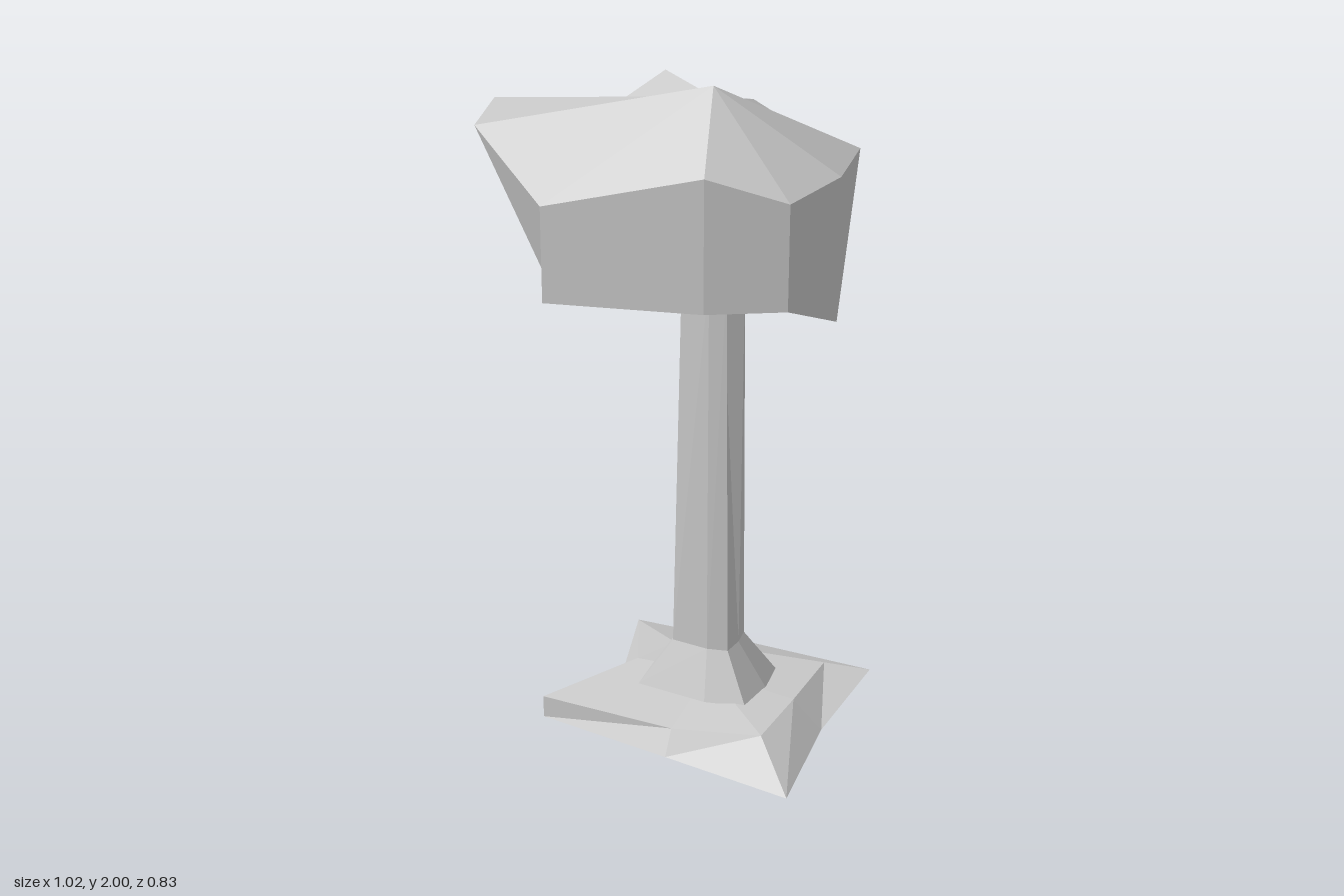
import * as THREE from 'three';

const material = new THREE.MeshStandardMaterial({ color: 0xcccccc, flatShading: true, side: THREE.DoubleSide });

// Builds a faceted mesh from triangles given as triples of [x, y, z] points
function facetMesh(name, triangles) {
  const geometry = new THREE.BufferGeometry();
  geometry.setAttribute('position', new THREE.Float32BufferAttribute(triangles.flat(2), 3));
  geometry.computeVertexNormals();
  const mesh = new THREE.Mesh(geometry, material);
  mesh.name = name;
  return mesh;
}

// Side faces between an upper and a lower ring (counterclockwise seen from above);
// from index flipFrom on, each quad is split along its other diagonal
function band(upper, lower, flipFrom = upper.length) {
  return upper.flatMap((u, i) => {
    const j = (i + 1) % upper.length;
    return i < flipFrom
      ? [[u, lower[i], upper[j]], [lower[i], lower[j], upper[j]]]
      : [[u, lower[i], lower[j]], [u, lower[j], upper[j]]];
  });
}

// Closes a ring with a fan around a centre point
function fan(ring, centre, facingUp) {
  return ring.map((p, i) => {
    const q = ring[(i + 1) % ring.length];
    return facingUp ? [centre, p, q] : [centre, q, p];
  });
}

// Ragged crown: two rings of corners, a ridged top and a flat underside
function createCrown() {
  const upper = [
    [-0.515, 1.82, 0.02], [-0.465, 1.82, 0.235], [-0.19, 1.7, 0.415], [0.24, 1.82, 0.36],
    [0.44, 1.755, 0.28], [0.51, 1.775, 0.1], [0.47, 1.755, -0.165], [0.295, 1.7, -0.32],
    [0.1, 1.785, -0.335], [0.06, 1.76, -0.3], [-0.18, 1.82, -0.375], [-0.34, 1.7, -0.115],
  ];
  const hollow = [0, 1.37, -0.02];
  const lower = [
    [-0.34, 1.43, 0.03], [-0.305, 1.37, 0.035], [-0.24, 1.37, 0.24], [-0.19, 1.43, 0.415],
    [0.24, 1.45, 0.36], [0.44, 1.46, 0.28], [0.51, 1.37, 0.1], [0.38, 1.37, -0.18],
    [0.297, 1.315, -0.417], [0.1, 1.365, -0.335], [0.06, 1.335, -0.31], hollow, hollow,
  ];
  const peak = [0.19, 2, 0.18], ridge = [0.165, 1.878, -0.08], saddle = [0.1, 1.89, -0.035];
  const [a, b, c, d, e, f, g, h, j, n, l, m] = upper;
  const top = [
    ...[[b, c], [c, d], [d, e], [e, f], [f, g], [g, ridge], [ridge, saddle], [saddle, b]]
      .map(([p, q]) => [peak, p, q]),
    [ridge, g, h], [ridge, h, j], [ridge, j, saddle],
    ...[[j, n], [n, l], [l, m], [m, a], [a, b]].map(([p, q]) => [saddle, p, q]),
  ];
  // The left tip has two lower corners, so it counts twice in the upper ring
  const sides = band([a, ...upper], lower, 10);
  return facetMesh('crown', [...top, ...sides, ...fan(lower, [0.1, 1.37, -0.03], false)]);
}

// Trunk with a flat front, grooves that deepen upwards and a flared foot
function createTrunk() {
  const topOutline = [
    [0.07, -0.025], [0.036, 0.018], [0.12, 0.028], [0.168, 0.02],
    [0.14, -0.015], [0.19, -0.06], [0.135, -0.084], [0.115, -0.05], [0.085, -0.08], [0.045, -0.055],
  ];
  const bottomOutline = [
    [0.017, -0.025], [0.02, 0.04], [0.13, 0.048], [0.19, 0.035],
    [0.2, -0.025], [0.195, -0.08], [0.14, -0.098], [0.11, -0.099], [0.08, -0.098], [0.025, -0.08],
  ];
  const ring = (outline, y, scale = 1) =>
    outline.map(([x, z]) => [0.11 + (x - 0.11) * scale, y, -0.02 + (z + 0.02) * scale]);
  const top = ring(topOutline, 1.39);
  const bottom = ring(bottomOutline, 0.235);
  const foot = ring(bottomOutline, 0.095, 1.95);
  return facetMesh('trunk', [...band(top, bottom), ...band(bottom, foot)]);
}

// Star-shaped patch of soil with one lifted tip
function createBase() {
  const rim = [
    [-0.31, 0, 0.235], [0.1, 0, 0.285], [0.49, 0, 0.335], [0.465, 0, -0.02],
    [0.51, 0.04, -0.32], [0.1, 0, -0.38], [-0.27, 0, -0.365], [-0.18, 0, -0.02],
  ];
  const crest = [
    [-0.31, 0.07, 0.235], [0.1, 0.07, 0.24], [0.36, 0.09, 0.2], [0.38, 0.09, -0.01],
    [0.385, 0.07, -0.26], [0.1, 0.1, -0.18], [-0.06, 0.09, -0.16], [-0.12, 0.1, -0.02],
  ];
  return facetMesh('base', [
    ...band(crest, rim),
    ...fan(crest, [0.11, 0.11, -0.02], true),
    ...fan(rim, [0.12, 0, -0.02], false),
  ]);
}

export function createModel() {
  const tree = new THREE.Group();
  tree.name = 'tree';
  tree.add(createBase(), createTrunk(), createCrown());
  return tree;
}
